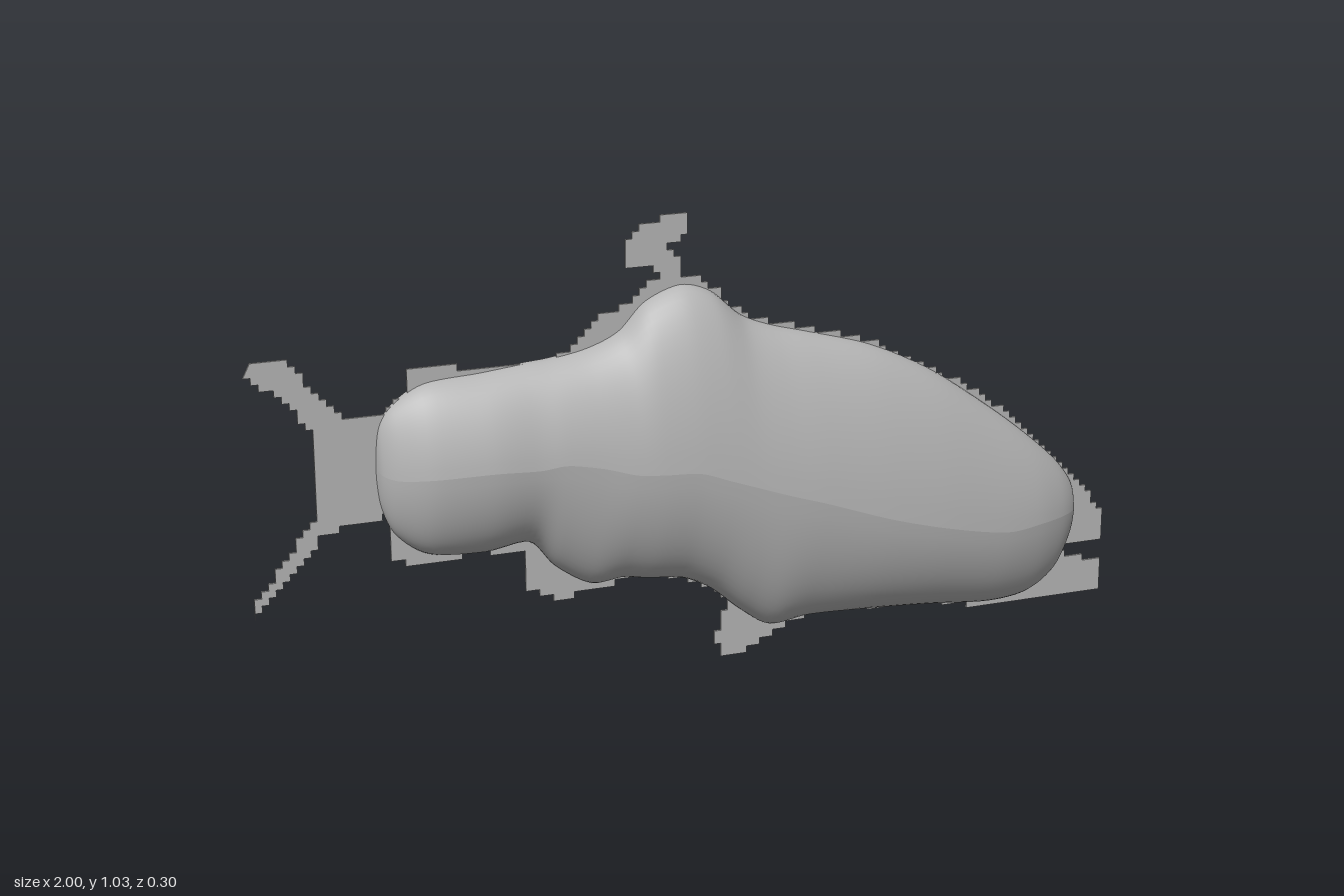
import * as THREE from 'three';

const grey = new THREE.MeshStandardMaterial({ color: 0xb6b6b6, side: THREE.DoubleSide });
grey.name = 'plainGrey';

// Body stations from tail to snout: x, top, ridge, bottom, half width
const STATIONS = [
  [-0.73, 0.56, 0.54, 0.52, 0], [-0.72, 0.63, 0.53, 0.45, 0.03], [-0.69, 0.675, 0.525, 0.385, 0.06],
  [-0.62, 0.715, 0.53, 0.335, 0.095], [-0.5, 0.725, 0.535, 0.325, 0.114], [-0.4, 0.735, 0.53, 0.335, 0.113],
  [-0.34, 0.74, 0.535, 0.27, 0.116], [-0.26, 0.755, 0.52, 0.22, 0.122], [-0.19, 0.785, 0.5, 0.225, 0.13],
  [-0.13, 0.845, 0.495, 0.215, 0.136], [-0.05, 0.875, 0.49, 0.205, 0.141], [0.02, 0.855, 0.465, 0.17, 0.144],
  [0.09, 0.795, 0.44, 0.11, 0.146], [0.16, 0.765, 0.415, 0.065, 0.148], [0.25, 0.74, 0.385, 0.075, 0.149],
  [0.4, 0.695, 0.33, 0.07, 0.146], [0.55, 0.62, 0.285, 0.06, 0.135], [0.7, 0.515, 0.25, 0.045, 0.114],
  [0.8, 0.435, 0.25, 0.055, 0.09], [0.87, 0.37, 0.25, 0.1, 0.06], [0.91, 0.315, 0.25, 0.175, 0.03],
  [0.925, 0.26, 0.25, 0.24, 0],
];

// Half of the body, from the side ridge over the back (edge 1) or belly (edge 3)
function bodyShell(name, edge) {
  const curve = (a, b) => new THREE.CatmullRomCurve3(
    STATIONS.map((s) => new THREE.Vector3(s[0], s[a], s[b])), false, 'catmullrom', 0.45);
  const heights = curve(edge, 2), widths = curve(edge, 4);
  const rings = 126, sides = 28, pos = [], index = [];
  for (let i = 0; i <= rings; i++) {
    const p = heights.getPoint(i / rings);
    const w = Math.max(0, widths.getPoint(i / rings).z);
    for (let j = 0; j <= sides; j++) {
      const a = (j / sides) * Math.PI, s = Math.sin(a);
      pos.push(p.x, p.z + (p.y - p.z) * s, w * Math.cos(a) * (1 - 0.12 * s));
      if (i < rings && j < sides) {
        const k = i * (sides + 1) + j, n = k + sides + 1;
        if (edge === 1) index.push(k, n, k + 1, n, n + 1, k + 1);
        else index.push(k, k + 1, n, n, k + 1, n + 1);
      }
    }
  }
  const g = new THREE.BufferGeometry();
  g.setAttribute('position', new THREE.Float32BufferAttribute(pos, 3));
  g.setIndex(index);
  g.computeVertexNormals();
  const mesh = new THREE.Mesh(g, grey);
  mesh.name = name;
  return mesh;
}

// Side outline, along the back from tail to snout
const BACK = [
  [-0.99, 0.79], [-0.91, 0.79], [-0.87, 0.73], [-0.83, 0.68], [-0.78, 0.655], [-0.72, 0.66], [-0.65, 0.7],
  [-0.65, 0.745], [-0.56, 0.745], [-0.54, 0.73], [-0.3, 0.745], [-0.28, 0.78], [-0.24, 0.83], [-0.18, 0.84],
  [-0.12, 0.885], [-0.09, 0.905], [-0.11, 0.925], [-0.17, 0.925], [-0.17, 0.99], [-0.13, 1.02], [-0.05, 1.036],
  [-0.03, 1.03], [-0.03, 0.985], [-0.075, 0.95], [-0.05, 0.93], [-0.05, 0.89], [-0.01, 0.885], [0.04, 0.85],
  [0.09, 0.79], [0.25, 0.745], [0.4, 0.7], [0.52, 0.64], [0.65, 0.56], [0.78, 0.46], [0.88, 0.36],
  [0.95, 0.28], [1, 0.225],
];
// Then around the mouth and along the belly back to the tail
const BELLY = [
  [1, 0.15], [0.89, 0.15], [0.89, 0.135], [0.95, 0.115], [1, 0.115], [1, 0.025], [0.7, 0.03], [0.6, 0.055],
  [0.3, 0.08], [0.22, 0.06], [0.16, 0.03], [0.11, 0.005], [0.06, 0.005], [0.03, 0.045], [0.03, 0.07],
  [0.07, 0.14], [0, 0.19], [-0.1, 0.22], [-0.2, 0.21], [-0.33, 0.19], [-0.37, 0.22], [-0.4, 0.23],
  [-0.4, 0.31], [-0.55, 0.33], [-0.55, 0.305], [-0.63, 0.305], [-0.7, 0.34], [-0.7, 0.43], [-0.78, 0.42],
  [-0.84, 0.4], [-0.88, 0.36], [-0.92, 0.31], [-1, 0.24], [-1, 0.275], [-0.92, 0.37], [-0.86, 0.46],
  [-0.86, 0.64], [-0.91, 0.71], [-1, 0.77],
];

// Thin centre plate with a stepped edge: fins, tail and jaws
function finPlate() {
  const step = 1 / 64, snap = (v) => Math.round(v / step) * step;
  const outline = [...BACK, ...BELLY], pts = [];
  const add = (x, y) => {
    const last = pts[pts.length - 1];
    if (!last || last.x !== x || last.y !== y) pts.push(new THREE.Vector2(x, y));
  };
  outline.forEach(([x0, y0], i) => {
    const [x1, y1] = outline[(i + 1) % outline.length];
    const n = Math.max(1, Math.round(Math.max(Math.abs(x1 - x0), Math.abs(y1 - y0)) / step));
    for (let k = 0; k < n; k++) {
      const x = snap(x0 + ((x1 - x0) * k) / n), y = snap(y0 + ((y1 - y0) * k) / n);
      if (pts.length) add(x, pts[pts.length - 1].y);
      add(x, y);
    }
  });
  const g = new THREE.ExtrudeGeometry(new THREE.Shape(pts), { depth: 0.006, bevelEnabled: false });
  g.translate(0, 0, -0.003);
  const mesh = new THREE.Mesh(g, grey);
  mesh.name = 'finsTailAndJaws';
  return mesh;
}

export function createModel() {
  const fish = new THREE.Group();
  fish.name = 'fish';
  fish.add(bodyShell('upperBody', 1), bodyShell('lowerBody', 3), finPlate());
  return fish;
}
